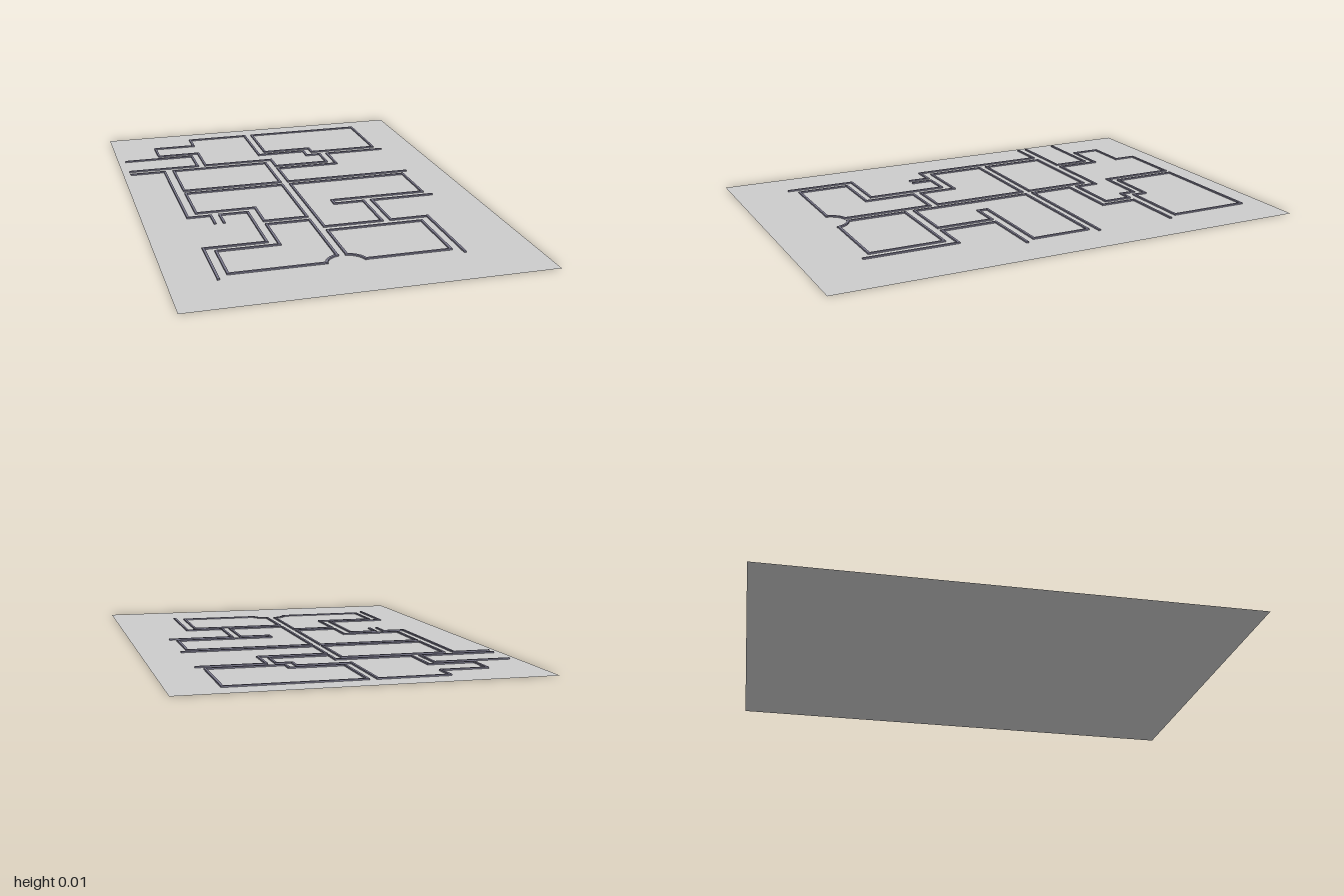
import * as THREE from 'three';

const WALL_WIDTH = 0.01;
const WALL_HEIGHT = 0.006;

export function createModel() {
  const model = new THREE.Group();
  const groundMat = new THREE.MeshStandardMaterial({ color: 0xcccccc, side: THREE.DoubleSide });
  groundMat.name = 'pale grey';
  const wallMat = new THREE.MeshStandardMaterial({ color: 0x777588 });
  wallMat.name = 'purple grey';

  // flat base sheet
  const ground = new THREE.Mesh(new THREE.PlaneGeometry(1.414, 2).rotateX(-Math.PI / 2), groundMat);
  ground.name = 'ground';
  model.add(ground);

  // low kerb following a list of [x, z] points, one box per straight run
  function kerb(name, closed, points) {
    const group = new THREE.Group();
    group.name = name;
    const runs = closed ? points.length : points.length - 1;
    for (let i = 0; i < runs; i++) {
      const [ax, az] = points[i];
      const [bx, bz] = points[(i + 1) % points.length];
      const length = Math.hypot(bx - ax, bz - az) + WALL_WIDTH;
      const run = new THREE.Mesh(new THREE.BoxGeometry(length, WALL_HEIGHT, WALL_WIDTH), wallMat);
      run.name = 'kerbRun';
      run.position.set((ax + bx) / 2, WALL_HEIGHT / 2 + 0.0005, (az + bz) / 2);
      run.rotation.y = -Math.atan2(bz - az, bx - ax);
      group.add(run);
    }
    model.add(group);
  }

  // quarter of the roundabout; side -1 is the right half, +1 the left half
  const roundabout = (side) => Array.from({ length: 6 }, (_, i) => {
    const a = THREE.MathUtils.lerp(1.33, 0.24, i / 5);
    return [-0.0315 + side * 0.0785 * Math.cos(a), 0.749 - 0.0785 * Math.sin(a)];
  });

  // back blocks
  kerb('backRightBlock', true, [[-0.325, -0.899], [-0.05, -0.899], [-0.05, -0.582], [0.167, -0.582],
    [0.167, -0.519], [0.23, -0.519], [0.23, -0.402], [-0.013, -0.402], [-0.013, -0.497],
    [-0.325, -0.497], [-0.325, -0.683], [-0.511, -0.683], [-0.511, -0.804], [-0.325, -0.804]]);
  kerb('backLeftBlock', true, [[-0.013, -0.899], [0.511, -0.899], [0.511, -0.561], [0.204, -0.561],
    [0.204, -0.619], [-0.013, -0.619]]);

  // middle blocks
  kerb('middleBlock', true, [[-0.479, -0.455], [-0.05, -0.455], [-0.05, -0.18], [-0.479, -0.18]]);
  kerb('middleRightBlock', true, [[-0.479, -0.143], [-0.05, -0.143], [-0.05, 0.259], [-0.23, 0.259],
    [-0.23, 0.101], [-0.479, 0.101]]);
  kerb('middleLeftBlock', true, [[-0.013, -0.143], [0.511, -0.143], [0.511, 0.101], [0.103, 0.101],
    [0.103, 0.143], [0.23, 0.143], [0.23, 0.381], [-0.013, 0.381]]);

  // front blocks, cut by the roundabout
  kerb('frontRightBlock', true, [[-0.23, 0.296], [-0.05, 0.296], ...roundabout(-1),
    [-0.108, 0.73], [-0.479, 0.73], [-0.479, 0.513], [-0.23, 0.513]]);
  kerb('frontLeftBlock', true, [[0.384, 0.423], [-0.013, 0.423], ...roundabout(1),
    [0.045, 0.73], [0.384, 0.73]]);

  // outer kerbs, open where roads leave
  kerb('backRightEdge', false, [[-0.67, -0.646], [-0.362, -0.646], [-0.362, -0.497], [-0.67, -0.497]]);
  kerb('backLeftEdge', false, [[0.537, -0.519], [0.267, -0.519], [0.267, -0.365], [-0.013, -0.365],
    [-0.013, -0.18], [0.537, -0.18]]);
  kerb('middleRightEdge', false, [[-0.67, -0.455], [-0.521, -0.455], [-0.521, 0.143],
    [-0.426, 0.143], [-0.426, 0.23]]);
  kerb('frontRightEdge', false, [[-0.389, 0.23], [-0.389, 0.143], [-0.272, 0.143], [-0.272, 0.476],
    [-0.521, 0.476], [-0.521, 0.765]]);
  kerb('frontLeftEdge', false, [[0.537, 0.143], [0.267, 0.143], [0.267, 0.381],
    [0.426, 0.381], [0.426, 0.765]]);

  return model;
}
